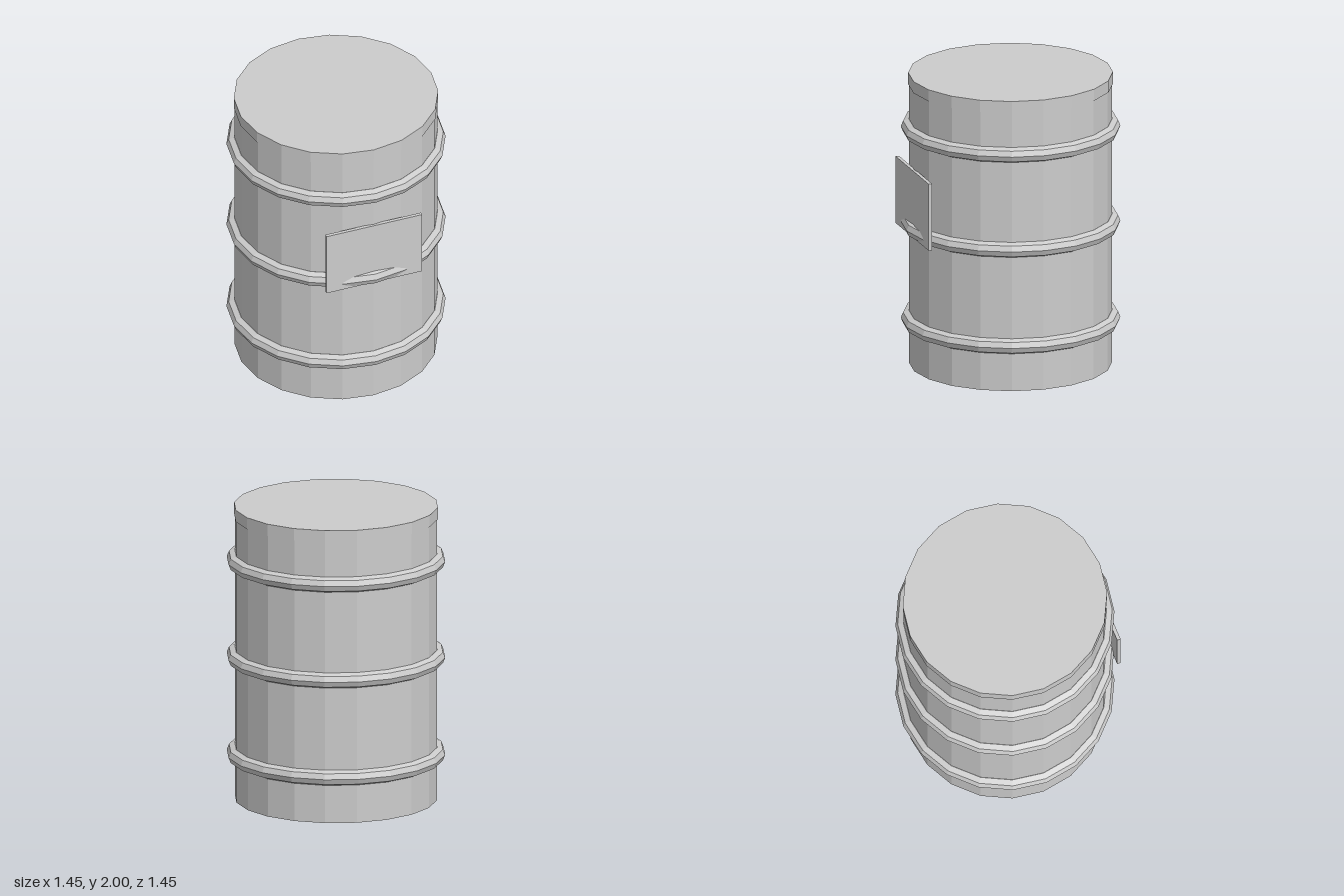
import * as THREE from 'three';

export function createModel() {
  const group = new THREE.Group();
  const metal = new THREE.MeshStandardMaterial({ color: 0xcccccc, flatShading: true });
  metal.name = 'grey metal';
  const SIDES = 20;

  const add = (name, geometry, y, z = 0) => {
    const mesh = new THREE.Mesh(geometry, metal);
    mesh.name = name;
    mesh.position.set(0, y, z);
    group.add(mesh);
  };

  // Drum body, slightly wider lid rim
  add('drumBody', new THREE.CylinderGeometry(0.672, 0.672, 1.96, SIDES), 0.98);
  add('lid', new THREE.CylinderGeometry(0.677, 0.677, 0.08, SIDES), 1.96);

  // Three raised hoops
  [0.31, 0.975, 1.63].forEach((y, i) => {
    const hoop = new THREE.TorusGeometry(0.674, 0.052, 8, SIDES);
    hoop.rotateX(Math.PI / 2);
    add('hoop' + (i + 1), hoop, y);
  });

  // Flat label plate on the front; the middle hoop breaks through it
  add('labelPlate', new THREE.BoxGeometry(0.68, 0.46, 0.024), 1.16, 0.675);

  return group;
}
